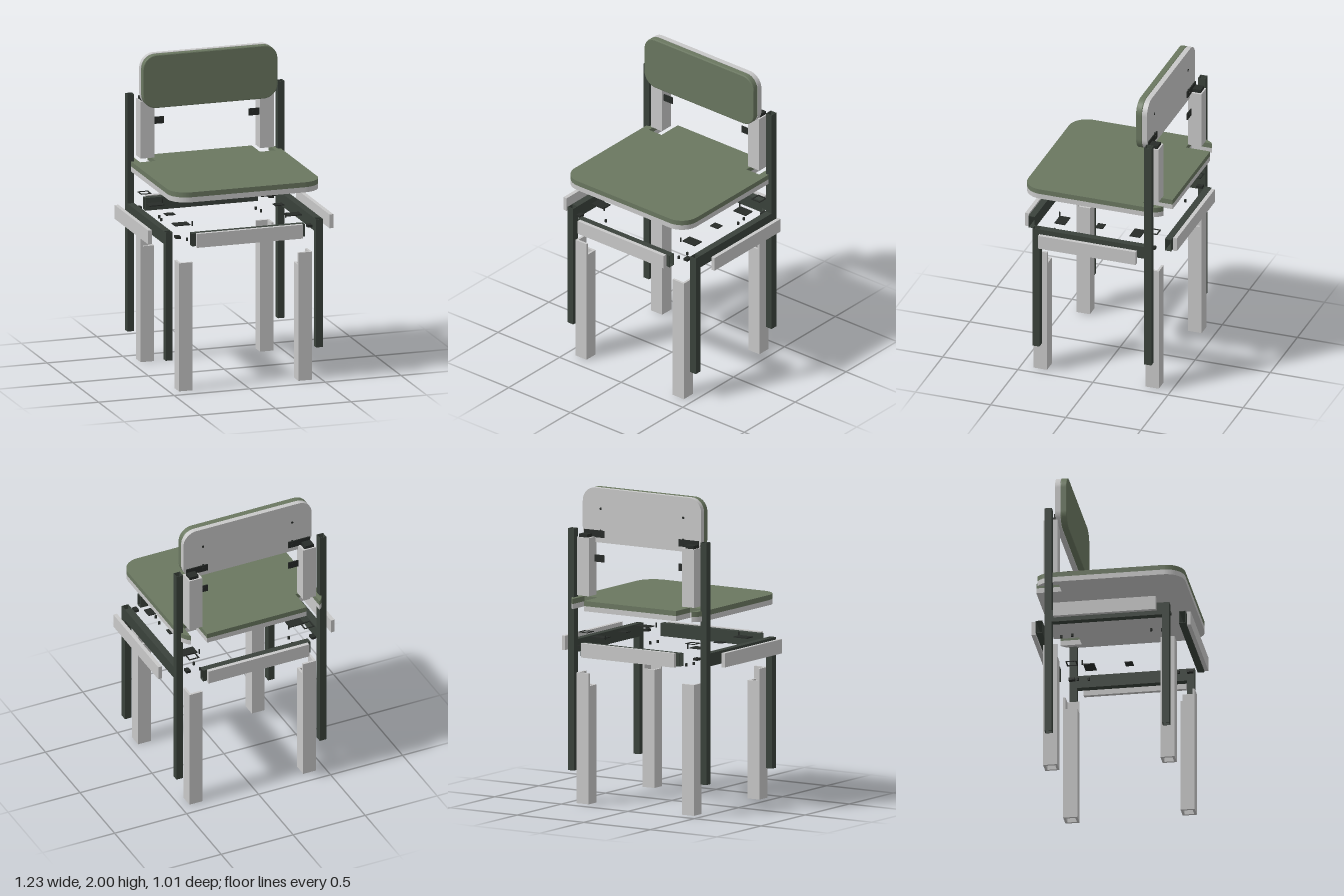
import * as THREE from 'three';

const mat = (name, color, side = THREE.FrontSide) => {
  const m = new THREE.MeshStandardMaterial({ color, side });
  m.name = name;
  return m;
};

export function createModel() {
  const model = new THREE.Group();
  model.name = 'explodedChair';
  const green = mat('green upholstery', 0x6a7760);
  const grey = mat('light grey', 0xc8c8c8);
  const dark = mat('dark green steel', 0x3a423b);
  const black = mat('black hardware', 0x272b28);

  const add = (name, geo, material, x = 0, y = 0, z = 0) => {
    const m = new THREE.Mesh(geo, material);
    m.name = name;
    m.position.set(x, y, z);
    model.add(m);
    return m;
  };
  const box = (name, material, w, h, d, x, y, z) =>
    add(name, new THREE.BoxGeometry(w, h, d), material, x, y, z);

  // Hollow square tube, centred, running along y, x or z
  const tube = (a, b, length, wall, axis) => {
    const rect = (C, w, h) => {
      const s = new C();
      s.moveTo(-w, -h);
      s.lineTo(w, -h);
      s.lineTo(w, h);
      s.lineTo(-w, h);
      s.closePath();
      return s;
    };
    const shape = rect(THREE.Shape, a / 2, b / 2);
    shape.holes.push(rect(THREE.Path, a / 2 - wall, b / 2 - wall));
    const g = new THREE.ExtrudeGeometry(shape, { depth: length, bevelEnabled: false });
    g.translate(0, 0, -length / 2);
    if (axis === 'y') g.rotateX(Math.PI / 2);
    if (axis === 'x') g.rotateY(Math.PI / 2);
    return g;
  };

  const slab = (shape, depth, bevel = 0) => {
    const g = new THREE.ExtrudeGeometry(shape, {
      depth: depth - bevel, curveSegments: 10, bevelEnabled: bevel > 0,
      bevelSize: bevel, bevelOffset: -bevel, bevelThickness: bevel, bevelSegments: 2,
    });
    return g;
  };

  // Seat outline with rounded corners and rear notches around the posts
  const seat = new THREE.Shape();
  const X = 0.495, Z = 0.475, R = 0.12;
  const cut = Math.acos((0.447 - (X - R)) / R);
  seat.moveTo(-0.345, Z);
  seat.lineTo(-0.345, 0.315);
  seat.lineTo(-0.447, 0.315);
  seat.lineTo(-0.447, Z - R + R * Math.sin(cut));
  seat.absarc(-X + R, Z - R, R, Math.PI - cut, Math.PI, false);
  seat.absarc(-X + R, -Z + R, R, Math.PI, Math.PI * 1.5, false);
  seat.absarc(X - R, -Z + R, R, -Math.PI / 2, 0, false);
  seat.absarc(X - R, Z - R, R, 0, cut, false);
  seat.lineTo(0.447, 0.315);
  seat.lineTo(0.345, 0.315);
  seat.lineTo(0.345, Z);
  seat.closePath();
  add('seatBase', slab(seat, 0.033).rotateX(-Math.PI / 2), grey, 0, 1.235, 0);
  const cushion = slab(seat, 0.032).rotateX(-Math.PI / 2);
  add('seatCushion', cushion, green, 0, 1.268, 0);

  // Backrest: grey board behind, green pad in front
  const back = new THREE.Shape();
  const W = 0.445, H = 0.1725, r = 0.09;
  back.absarc(W - r, H - r, r, 0, Math.PI / 2, false);
  back.absarc(-W + r, H - r, r, Math.PI / 2, Math.PI, false);
  back.absarc(-W + r, -H + r, r, Math.PI, Math.PI * 1.5, false);
  back.absarc(W - r, -H + r, r, -Math.PI / 2, 0, false);
  back.closePath();
  add('backrestBoard', slab(back, 0.033), grey, 0, 1.8275, -0.34);
  add('backrestPad', slab(back, 0.036, 0.006), green, 0, 1.8275, -0.301);

  // Grey and dark horizontal rails on all four sides
  for (const s of [-1, 1]) {
    box('endRailCover', grey, 0.7, 0.09, 0.025, 0, 0.99, s * 0.4925);
    box('sideRailCover', grey, 0.025, 0.09, 0.65, s * 0.6, 0.99, 0);
    add('endRail', tube(0.042, 0.082, 0.745, 0.003, 'x'), dark, 0, 0.99, s * 0.454);
    add('sideRail', tube(0.045, 0.082, 0.7, 0.003, 'z'), dark, s * 0.4975, 0.989, 0);
  }

  for (const sx of [-1, 1]) {
    const side = sx > 0 ? 'left' : 'right';

    for (const sz of [-1, 1]) {
      const end = sz > 0 ? 'Front' : 'Back';
      const lx = sx * 0.395, lz = sz * 0.372;

      // Grey sleeve with its inner corner cut away at the top
      const name = side + end + 'LegSleeve';
      add(name, tube(0.09, 0.09, 0.75, 0.015, 'y'), grey, lx, 0.375, lz);
      box(name + 'Tongue', grey, 0.015, 0.08, 0.09, lx + sx * 0.0375, 0.79, lz);
      box(name + 'Tongue', grey, 0.075, 0.08, 0.015, lx - sx * 0.0075, 0.79, lz + sz * 0.0375);

      // Dark steel post
      const top = sz > 0 ? 1.03 : 1.735;
      add(side + end + 'Post', tube(0.045, 0.047, top - 0.2, 0.003, 'y'), dark,
        sx * 0.4975, (top + 0.2) / 2, sz * 0.3725);

      // Corner plate, connector, screw and bolts
      box('cornerPlate', black, 0.1, 0.006, 0.07, sx * 0.37, 1.037, sz * 0.25);
      box('cornerConnector', black, 0.03, 0.016, 0.04, sx * 0.435, 0.99, sz * 0.375);
      add('screw', new THREE.CylinderGeometry(0.005, 0.005, 0.03, 8), black, sx * 0.31, 1.045, sz * 0.29);
      for (const [bx, bz] of [[0.33, 0.25], [0.32, 0.32]]) {
        add('bolt', new THREE.CylinderGeometry(0.008, 0.008, 0.018, 8), black, sx * bx, 0.935, sz * bz);
      }
    }
    box('sidePlate', black, 0.06, 0.006, 0.05, sx * 0.36, 1.037, 0);

    // Upper sleeve, its plug and the flat ring below the seat
    add(side + 'UpperSleeve', tube(0.09, 0.09, 0.37, 0.015, 'y'), grey, sx * 0.395, 1.505, -0.37);
    box(side + 'SleevePlug', black, 0.06, 0.03, 0.06, sx * 0.4, 1.695, -0.375);
    add(side + 'FlatRing', tube(0.07, 0.07, 0.004, 0.008, 'y'), black, sx * 0.4, 1.085, -0.37);

    // Backrest brackets with screw heads
    for (const y of [1.555, 1.71]) {
      box(side + 'BackBracket', black, 0.15, 0.045, 0.007, sx * 0.355, y, -0.346);
      const head = add('bracketScrew', new THREE.CylinderGeometry(0.01, 0.01, 0.014, 10), black, sx * 0.31, y, -0.345);
      head.rotation.x = Math.PI / 2;
    }

    // Screw heads on the back of the backrest
    for (const y of [1.73, 1.87]) {
      const dot = add('backrestScrew', new THREE.CylinderGeometry(0.008, 0.008, 0.004, 10), black, sx * 0.31, y, -0.341);
      dot.rotation.x = Math.PI / 2;
    }
  }
  return model;
}
